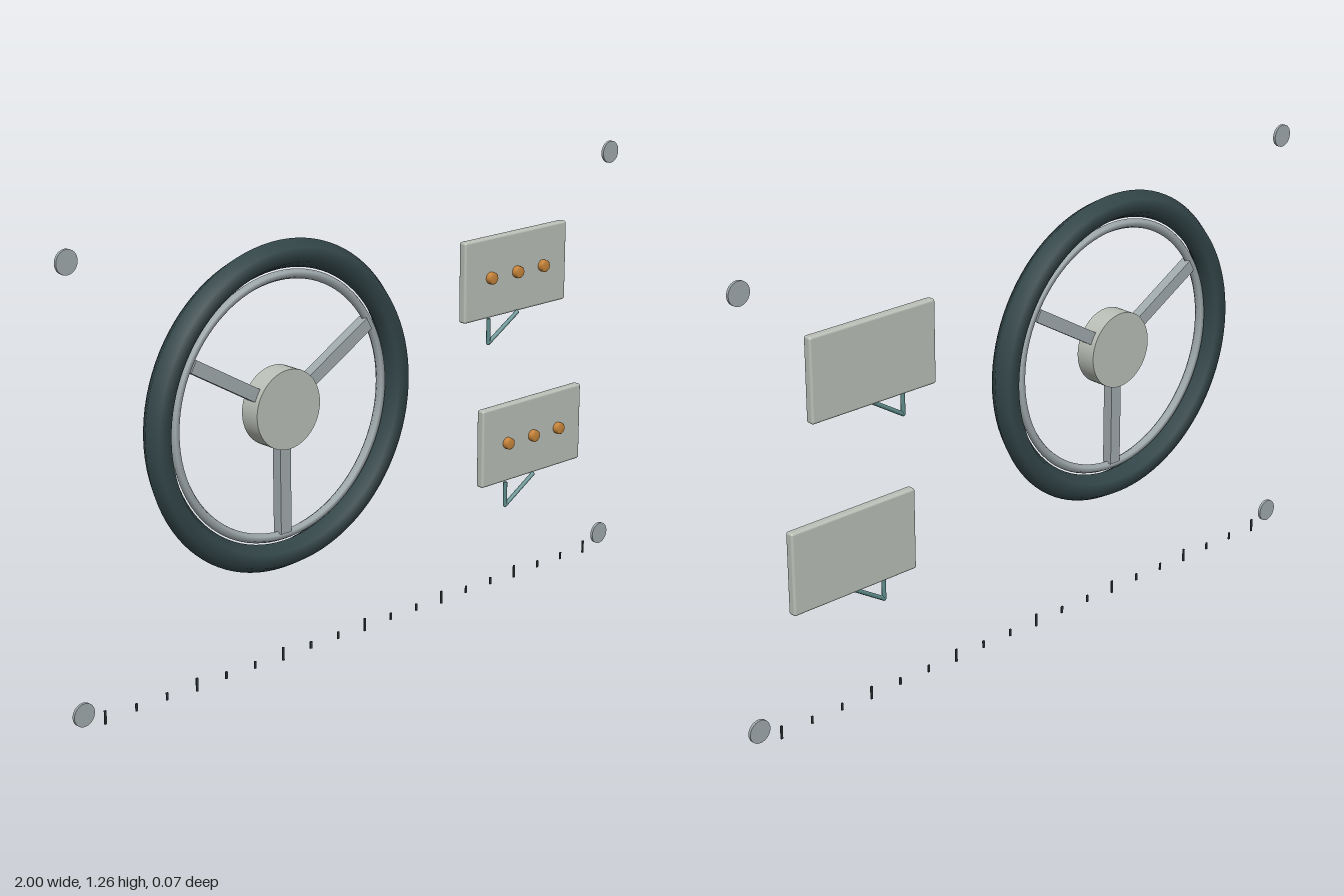
import * as THREE from 'three';
import { RoundedBoxGeometry } from 'three/addons/geometries/RoundedBoxGeometry.js';

const mat = (color) => new THREE.MeshStandardMaterial({ color });
const rubber = mat(0x34474a);
const steel = mat(0xa0aaad);
const plate = mat(0xbabfb7);
const copper = mat(0xc8853a);
const teal = mat(0x5f8c8c);
const dark = mat(0x333c3e);

function add(parent, name, geometry, material, x = 0, y = 0, z = 0) {
  const mesh = new THREE.Mesh(geometry, material);
  mesh.name = name;
  mesh.position.set(x, y, z);
  parent.add(mesh);
  return mesh;
}

// Disc whose axis points along z
const disc = (radius, depth, sides) =>
  new THREE.CylinderGeometry(radius, radius, depth, sides).rotateX(Math.PI / 2);

// Round rod between two points
function rod(parent, name, a, b, radius, material) {
  const dir = b.clone().sub(a);
  const mesh = add(parent, name, new THREE.CylinderGeometry(radius, radius, dir.length(), 8), material);
  mesh.position.copy(a).add(b).multiplyScalar(0.5);
  mesh.quaternion.setFromUnitVectors(new THREE.Vector3(0, 1, 0), dir.normalize());
}

function createWheel() {
  const wheel = new THREE.Group();
  wheel.name = 'wheel';
  add(wheel, 'tyre', new THREE.TorusGeometry(0.408, 0.038, 6, 96), rubber);
  add(wheel, 'rim', new THREE.TorusGeometry(0.353, 0.013, 6, 96), steel);
  add(wheel, 'hub', disc(0.108, 0.06, 48), plate);

  // Three spokes, one pointing straight down
  for (let i = 0; i < 3; i++) {
    const angle = -Math.PI / 2 + (i * Math.PI * 2) / 3;
    const spoke = add(wheel, 'spoke', new THREE.BoxGeometry(0.27, 0.036, 0.03), steel,
      Math.cos(angle) * 0.21, Math.sin(angle) * 0.21, 0);
    spoke.rotation.z = angle;
  }
  wheel.position.set(-0.331, 0.783, 0.005);
  return wheel;
}

function createPanel(x, y) {
  const panel = new THREE.Group();
  panel.name = 'panel';
  add(panel, 'panelPlate', new RoundedBoxGeometry(0.408, 0.231, 0.026, 2, 0.007), plate, 0, 0, -0.018);

  // Row of three round studs with a softened front edge
  const profile = [[0.017, -0.01], [0.017, 0.009], [0.014, 0.012], [0, 0.012]]
    .map(([r, h]) => new THREE.Vector2(r, h));
  for (const side of [-1, 0, 1]) {
    add(panel, 'stud', new THREE.LatheGeometry(profile, 20).rotateX(Math.PI / 2), copper,
      side * 0.105, 0.001, 0);
  }

  // V-shaped bracket under the plate
  const tip = new THREE.Vector3(-0.115, -0.185, 0);
  rod(panel, 'bracketPost', new THREE.Vector3(-0.115, -0.114, 0), tip, 0.006, teal);
  rod(panel, 'bracketBrace', tip, new THREE.Vector3(0.002, -0.114, 0), 0.006, teal);
  add(panel, 'bracketJoint', new THREE.SphereGeometry(0.006, 8, 6), teal, tip.x, tip.y, tip.z);

  panel.position.set(x, y, 0);
  return panel;
}

export function createModel() {
  const model = new THREE.Group();
  model.name = 'wheelAndPanels';
  model.add(createWheel(), createPanel(0.556, 0.99), createPanel(0.635, 0.488));

  // Corner discs
  for (const x of [-0.968, 0.968]) {
    for (const y of [0.096, 1.272]) {
      add(model, 'cornerDisc', disc(0.032, 0.008, 32), steel, x, y, -0.033);
    }
  }

  // Scale marks along the bottom, every third one taller
  for (let i = 0; i <= 18; i++) {
    const major = i % 3 === 0;
    add(model, major ? 'majorTick' : 'minorTick',
      new THREE.BoxGeometry(0.006, major ? 0.038 : 0.021, 0.004), dark,
      -0.9 + i * 0.1, major ? 0.067 : 0.064, -0.035);
  }
  return model;
}
